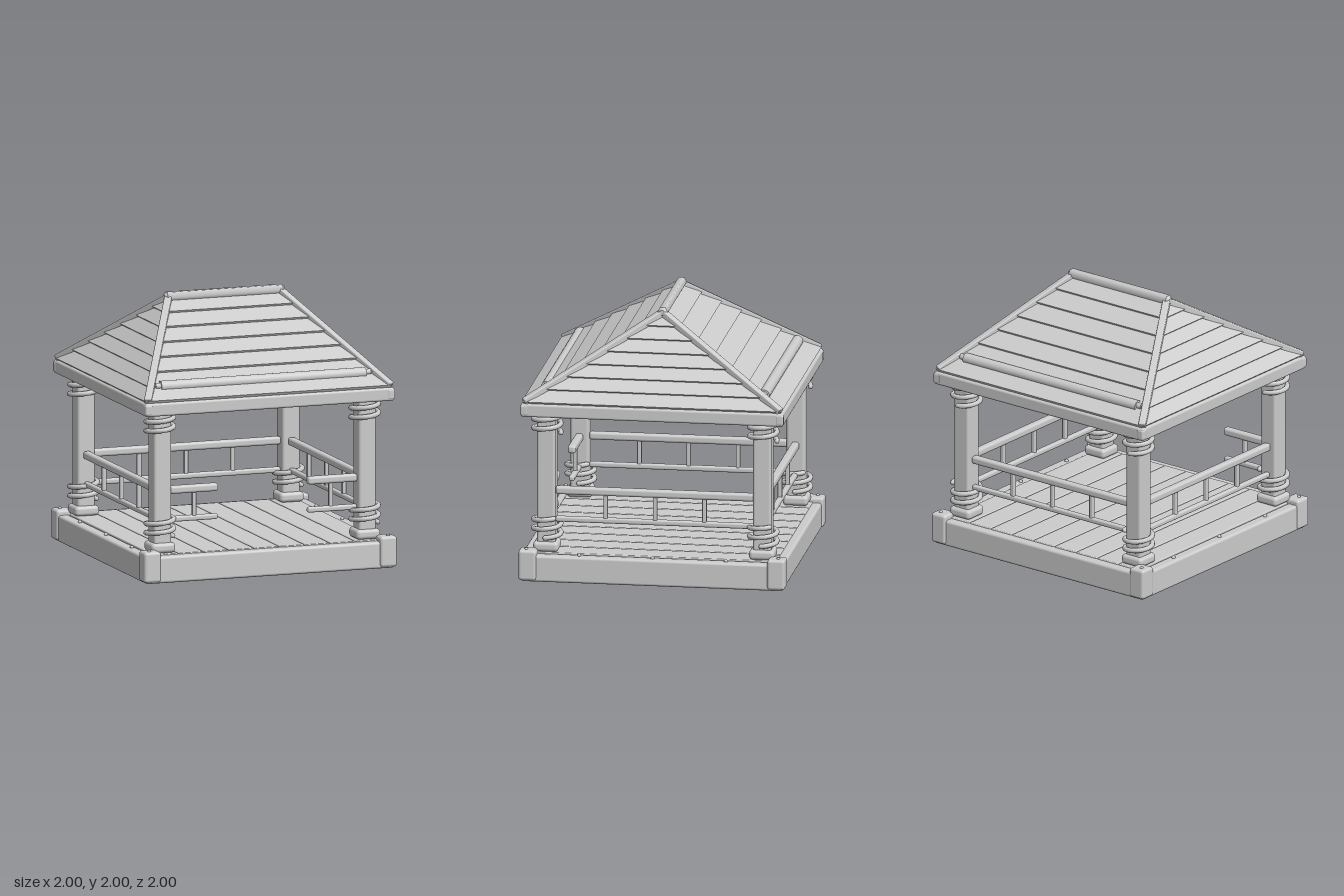
import * as THREE from 'three';
import { RoundedBoxGeometry } from 'three/addons/geometries/RoundedBoxGeometry.js';

const grey = new THREE.MeshStandardMaterial({ color: 0xcccccc });
grey.name = 'plain grey';

function add(parent, name, geometry, x = 0, y = 0, z = 0) {
  const mesh = new THREE.Mesh(geometry, grey);
  mesh.name = name;
  mesh.position.set(x, y, z);
  parent.add(mesh);
  return mesh;
}

const rounded = (w, h, d, r) => new RoundedBoxGeometry(w, h, d, 3, r);

// Closed flat-faced block from a lower and an upper ring of four corners
function block(low, high) {
  const pos = [];
  const quad = (a, b, c, d) => [a, b, c, a, c, d].forEach((p) => pos.push(...p));
  quad(...high);
  quad(low[3], low[2], low[1], low[0]);
  for (let i = 0; i < 4; i++) {
    const j = (i + 1) % 4;
    quad(low[i], low[j], high[j], high[i]);
  }
  const g = new THREE.BufferGeometry();
  g.setAttribute('position', new THREE.Float32BufferAttribute(pos, 3));
  g.computeVertexNormals();
  return g;
}

// Rope wound around a post
class Coil extends THREE.Curve {
  constructor(start, turns, rise) {
    super();
    Object.assign(this, { start, turns, rise });
  }
  getPoint(t, target = new THREE.Vector3()) {
    const a = this.start + t * this.turns * Math.PI * 2;
    return target.set(0.103 * Math.cos(a), t * this.rise, -0.103 * Math.sin(a));
  }
}

// Horizontal rail pair with balusters, running along x
function railing(name, x0, x1, balusters) {
  const g = new THREE.Group();
  g.name = name;
  const mid = (x0 + x1) / 2, len = x1 - x0;
  add(g, 'topRail', rounded(len, 0.06, 0.06, 0.02), mid, 0.668, 0);
  add(g, 'lowerRail', rounded(len, 0.042, 0.042, 0.015), mid, 0.447, 0);
  for (const x of balusters) add(g, 'baluster', rounded(0.032, 0.19, 0.032, 0.008), x, 0.555, 0);
  return g;
}

// One roof face of lapped boards; half-length and depth shrink towards the ridge
function roofFace(name, lenTop, depthTop) {
  const g = new THREE.Group();
  g.name = name;
  const rows = 7, eave = 0.965, y0 = 1.36, rise = 0.59;
  const run = eave - depthTop, slope = Math.hypot(run, rise);
  const corner = (s, t, lift) => [
    s * Math.max(0.004, eave + (lenTop - eave) * t),
    y0 + rise * t + (lift * run) / slope,
    eave - run * t + (lift * rise) / slope,
  ];
  for (let i = 0; i < rows; i++) {
    const t0 = i / rows, t1 = (i + 1) / rows;
    const ring = (a, b) => [corner(-1, t0, a), corner(1, t0, a), corner(1, t1, b), corner(-1, t1, b)];
    add(g, 'roofBoard', block(ring(-0.012, -0.012), ring(0.02, 0.003)));
  }
  return g;
}

export function createModel() {
  const model = new THREE.Group();
  model.name = 'gazebo';
  const sides = [-1, 1];

  // Base: slab, edge beams, floor boards, corner caps
  add(model, 'baseSlab', new THREE.BoxGeometry(1.94, 0.17, 1.94), 0, 0.085, 0);
  for (const s of sides) {
    add(model, 'baseBeamX', rounded(1.96, 0.2, 0.09, 0.02), 0, 0.1, s * 0.94);
    add(model, 'baseBeamZ', rounded(0.09, 0.2, 1.96, 0.02), s * 0.94, 0.1, 0);
    for (const z of [-0.55, 0, 0.55]) {
      add(model, 'bolt', new THREE.SphereGeometry(0.015, 12, 8), s * 0.935, 0.203, z);
    }
  }
  for (let i = -4; i <= 4; i++) {
    add(model, 'floorBoard', rounded(0.192, 0.05, 1.84, 0.008), i * 0.2, 0.183, 0);
  }

  for (const sx of sides) for (const sz of sides) {
    add(model, 'cornerCap', rounded(0.133, 0.23, 0.133, 0.022), sx * 0.933, 0.125, sz * 0.933);
    add(model, 'capBolt', new THREE.SphereGeometry(0.014, 12, 8), sx * 0.945, 0.238, sz * 0.945);

    // Posts with plinth and rope windings
    const post = new THREE.Group();
    post.name = 'post';
    post.position.set(sx * 0.81, 0, sz * 0.81);
    model.add(post);
    add(post, 'shaft', rounded(0.137, 1.08, 0.137, 0.02), 0, 0.75, 0);
    add(post, 'plinth', rounded(0.19, 0.075, 0.19, 0.028), 0, 0.247, 0);
    for (const [y, start] of [[0.32, 0], [1.105, Math.PI / 2]]) {
      const curve = new Coil(start, 2.1, 0.145);
      add(post, 'rope', new THREE.TubeGeometry(curve, 72, 0.019, 8), 0, y, 0);
      for (const t of [0, 1]) {
        const end = curve.getPoint(t);
        add(post, 'ropeEnd', new THREE.SphereGeometry(0.019, 10, 6), end.x, y + end.y, end.z);
      }
    }
  }

  // Railings: full on three sides, open in the middle of the front
  const back = railing('backRailing', -0.745, 0.745, [-0.37, 0, 0.37]);
  back.position.z = -0.81;
  model.add(back);
  for (const s of sides) {
    const side = railing('sideRailing', -0.745, 0.745, [-0.37, 0, 0.37]);
    side.rotation.y = Math.PI / 2;
    side.position.x = s * 0.81;
    const front = s < 0
      ? railing('frontRailing', -0.745, -0.355, [-0.54])
      : railing('frontRailing', 0.355, 0.745, [0.54]);
    front.position.z = 0.81;
    model.add(side, front);
  }

  // Eave frame
  for (const s of sides) {
    add(model, 'eaveBeamX', rounded(1.97, 0.1, 0.12, 0.018), 0, 1.308, s * 0.925);
    add(model, 'eaveBeamZ', rounded(0.12, 0.1, 1.97, 0.018), s * 0.925, 1.308, 0);
    for (const z of sides) {
      add(model, 'eaveCorner', rounded(0.06, 0.08, 0.06, 0.015), s * 0.958, 1.308, z * 0.958);
    }
  }

  // Hipped roof
  for (let k = 0; k < 4; k++) {
    const face = k % 2 ? roofFace('sideRoof', 0, 0.44) : roofFace('mainRoof', 0.44, 0);
    face.rotation.y = (k * Math.PI) / 2;
    model.add(face);
  }
  for (const sx of sides) for (const sz of sides) {
    const low = new THREE.Vector3(sx * 0.96, 1.372, sz * 0.96);
    const high = new THREE.Vector3(sx * 0.44, 1.96, 0);
    const hip = add(model, 'hipBeam', rounded(0.055, 0.05, low.distanceTo(high), 0.01));
    hip.position.copy(low).lerp(high, 0.5);
    hip.lookAt(high);
  }
  const ridge = add(model, 'ridgeBeam', new THREE.CylinderGeometry(0.041, 0.041, 0.91, 6), 0, 1.964, 0);
  ridge.rotation.z = Math.PI / 2;
  for (const s of sides) {
    const tip = add(model, 'ridgeEnd', new THREE.CylinderGeometry(0.02, 0.041, 0.02, 6), s * 0.465, 1.964, 0);
    tip.rotation.z = (-s * Math.PI) / 2;
  }

  // Rolled blinds lying on the front and back slopes
  for (const s of sides) {
    const roll = add(model, 'blindRoll', new THREE.CylinderGeometry(0.042, 0.042, 1.62, 20), 0, 1.452, s * 0.815);
    const rod = add(model, 'blindRod', new THREE.CylinderGeometry(0.023, 0.023, 1.7, 12), 0, 1.458, s * 0.82);
    roll.rotation.z = rod.rotation.z = Math.PI / 2;
  }

  return model;
}
